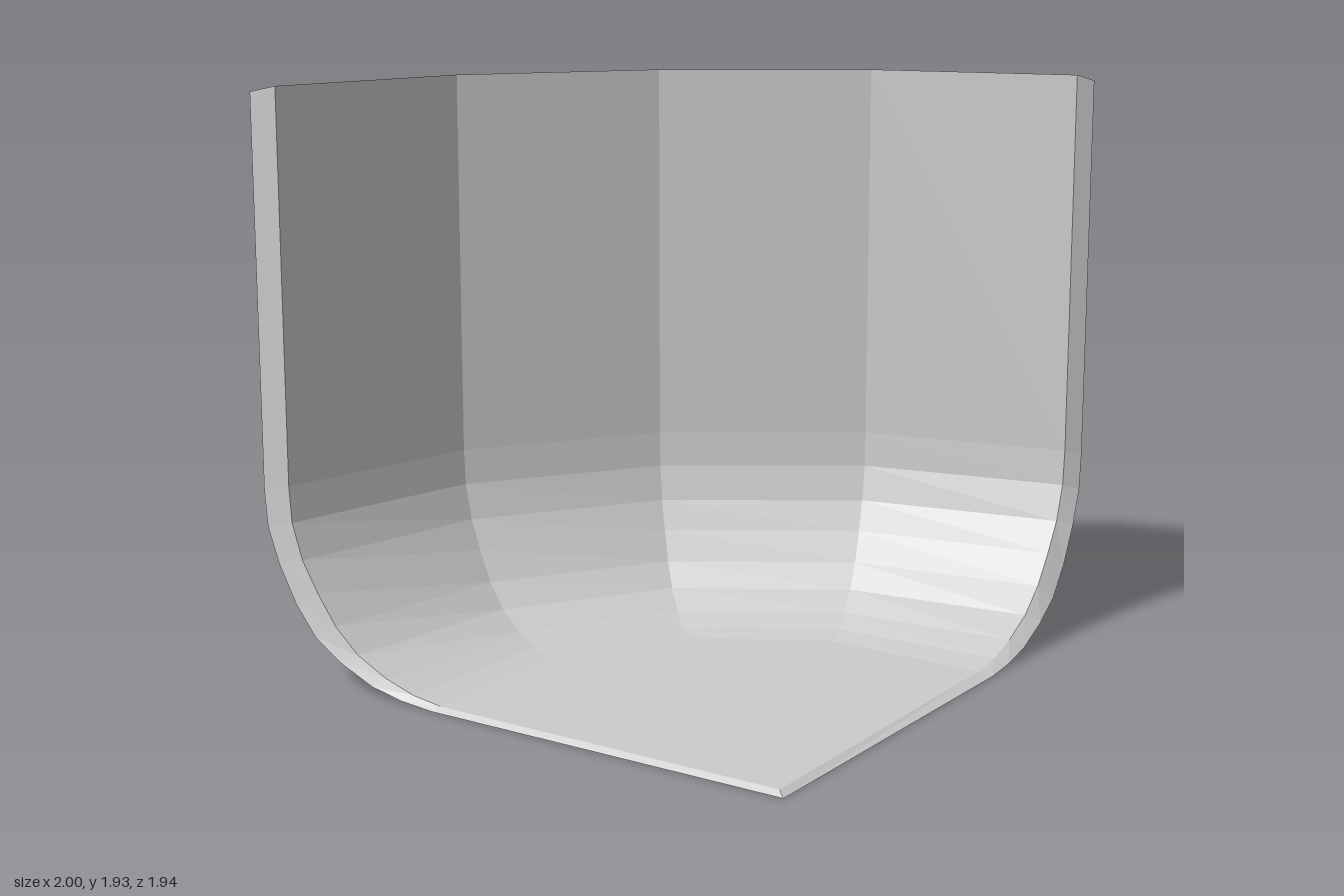
import * as THREE from 'three';

// Each column of the shell runs from the wall plan point down to the floor plan point.
const INNER = {
  wall: [[-0.91, 0.95], [-0.77, 0.23], [-0.36, -0.37], [0.25, -0.78], [0.96, -0.92]],
  floor: [[-0.29, 0.95], [-0.29, 0.38], [-0.04, -0.07], [0.4, -0.31], [0.96, -0.3]],
  heights: [0.64, 0.52, 0.4, 0.3, 0.2, 0.12, 0.064, 0.03, 0.015],
  top: 1.93,
  corner: [0.96, 0.015, 0.95],
};
const OUTER = {
  wall: [[-1, 0.97], [-0.79, 0.21], [-0.39, -0.4], [0.21, -0.8], [1, -0.97]],
  floor: [[-0.31, 0.97], [-0.31, 0.37], [-0.05, -0.08], [0.39, -0.32], [1, -0.32]],
  heights: [0.62, 0.5, 0.38, 0.255, 0.155, 0.09, 0.035, 0.01, 0],
  top: 1.91,
  corner: [0.985, 0, 0.97],
};
// How far each level has moved from the wall to the floor
const INWARD = [0, 0.015, 0.08, 0.18, 0.3, 0.45, 0.64, 0.82, 1];

// Points of every column, from the rim down to the floor
function columns({ wall, floor, heights, top }) {
  return wall.map(([wx, wz], c) => {
    const [fx, fz] = floor[c];
    const bend = INWARD.map((t, i) => [wx + (fx - wx) * t, heights[i], wz + (fz - wz) * t]);
    return [[wx, top, wz], ...bend];
  });
}

function faceMesh(name, faces) {
  const positions = [];
  for (const face of faces) {
    for (let i = 1; i < face.length - 1; i++) positions.push(...face[0], ...face[i], ...face[i + 1]);
  }
  const geometry = new THREE.BufferGeometry();
  geometry.setAttribute('position', new THREE.Float32BufferAttribute(positions, 3));
  geometry.computeVertexNormals();
  const mesh = new THREE.Mesh(geometry, new THREE.MeshStandardMaterial({ color: 0xcccccc, flatShading: true }));
  mesh.name = name;
  return mesh;
}

export function createModel() {
  const inner = columns(INNER);
  const outer = columns(OUTER);
  const last = inner.length - 1;
  const rows = inner[0].length - 1;

  // Curved wall: inside, outside, rim and both cut ends
  const wall = [];
  for (let c = 0; c < last; c++) {
    for (let r = 0; r < rows; r++) {
      wall.push([inner[c][r], inner[c][r + 1], inner[c + 1][r + 1], inner[c + 1][r]]);
      wall.push([outer[c][r], outer[c + 1][r], outer[c + 1][r + 1], outer[c][r + 1]]);
    }
    wall.push([inner[c][0], inner[c + 1][0], outer[c + 1][0], outer[c][0]]);
  }
  for (let r = 0; r < rows; r++) {
    wall.push([outer[0][r], outer[0][r + 1], inner[0][r + 1], inner[0][r]]);
    wall.push([inner[last][r], inner[last][r + 1], outer[last][r + 1], outer[last][r]]);
  }

  // Flat floor: top, underside and the two straight edges
  const innerFloor = inner.map((column) => column[rows]);
  const outerFloor = outer.map((column) => column[rows]);
  const floor = [
    [INNER.corner, ...innerFloor.slice().reverse()],
    [OUTER.corner, ...outerFloor],
    [outerFloor[0], OUTER.corner, INNER.corner, innerFloor[0]],
    [OUTER.corner, outerFloor[last], innerFloor[last], INNER.corner],
  ];

  const group = new THREE.Group();
  group.name = 'cornerShell';
  group.add(faceMesh('curvedWall', wall), faceMesh('floor', floor));
  return group;
}
